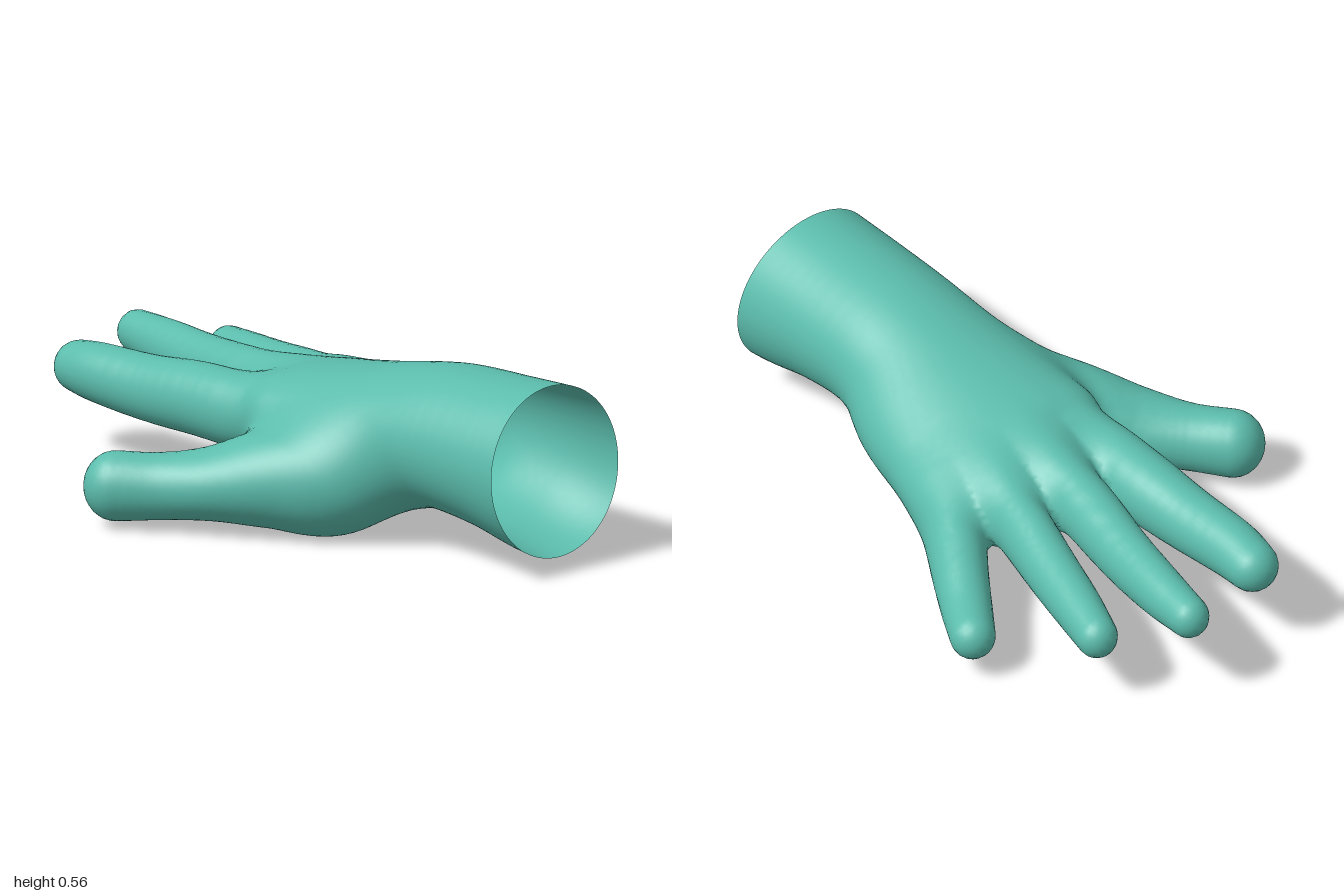
import * as THREE from 'three';

// Every part is a row of elliptical sections [x, y, z, halfWidth, halfHeight, roll]
const palm = [
  [1.10, 0.300, -0.058, 0.260, 0.262],
  [0.98, 0.303, -0.055, 0.254, 0.255],
  [0.80, 0.318, -0.047, 0.247, 0.232],
  [0.60, 0.322, -0.042, 0.246, 0.217],
  [0.45, 0.302, -0.045, 0.260, 0.211, 0.02],
  [0.30, 0.268, -0.060, 0.298, 0.210, 0.06],
  [0.15, 0.262, -0.075, 0.313, 0.186, 0.10],
  [0.00, 0.265, -0.090, 0.316, 0.155, 0.13],
  [-0.10, 0.265, -0.070, 0.265, 0.130, 0.13],
  [-0.20, 0.262, -0.035, 0.175, 0.090, 0.12],
];
const fingers = {
  index: [
    [0.05, 0.275, 0.100, 0.080, 0.090],
    [-0.15, 0.268, 0.118, 0.100, 0.112],
    [-0.35, 0.265, 0.122, 0.102, 0.110],
    [-0.55, 0.255, 0.132, 0.093, 0.100],
    [-0.75, 0.257, 0.140, 0.085, 0.090],
    [-0.85, 0.255, 0.134, 0.078, 0.078],
  ],
  middle: [
    [0.05, 0.285, -0.050, 0.080, 0.090],
    [-0.15, 0.285, -0.066, 0.088, 0.110],
    [-0.35, 0.275, -0.084, 0.088, 0.103],
    [-0.58, 0.263, -0.126, 0.080, 0.094],
    [-0.78, 0.268, -0.160, 0.072, 0.082],
    [-0.94, 0.276, -0.182, 0.061, 0.065],
  ],
  ring: [
    [0.05, 0.260, -0.180, 0.080, 0.090],
    [-0.12, 0.252, -0.222, 0.086, 0.110],
    [-0.30, 0.240, -0.267, 0.082, 0.104],
    [-0.48, 0.228, -0.316, 0.078, 0.090],
    [-0.64, 0.220, -0.358, 0.072, 0.080],
    [-0.78, 0.215, -0.399, 0.062, 0.067],
  ],
  // Starts at the heel of the hand, which it fills out below
  little: [
    [0.38, 0.240, -0.160, 0.100, 0.120],
    [0.25, 0.192, -0.210, 0.100, 0.138],
    [0.12, 0.178, -0.265, 0.098, 0.126],
    [0.00, 0.180, -0.328, 0.094, 0.126],
    [-0.11, 0.176, -0.386, 0.092, 0.120],
    [-0.25, 0.155, -0.478, 0.083, 0.096],
    [-0.36, 0.135, -0.546, 0.076, 0.079],
    [-0.46, 0.128, -0.607, 0.068, 0.071],
  ],
};
const thumb = [
  [0.42, 0.235, 0.060, 0.125, 0.125],
  [0.28, 0.174, 0.165, 0.165, 0.172],
  [0.13, 0.160, 0.270, 0.162, 0.148],
  [0.00, 0.139, 0.390, 0.125, 0.110],
  [-0.12, 0.124, 0.485, 0.100, 0.100],
  [-0.23, 0.119, 0.574, 0.095, 0.105],
];

// Distance to a rounded limb swept smoothly through its sections
function limb(sections, steps = 14) {
  const curve = pick => new THREE.CatmullRomCurve3(
    sections.map(s => new THREE.Vector3(...pick(s))), false, 'catmullrom');
  const path = curve(s => s.slice(0, 3));
  const sizes = curve(s => [s[3], s[4], s[5] ?? 0]);
  const count = (sections.length - 1) * steps;
  const slices = Array.from({ length: count + 1 }, (_, i) => {
    const center = path.getPoint(i / count), size = sizes.getPoint(i / count);
    const along = path.getTangent(i / count).setY(0).normalize();
    return { center, along, w: size.x, h: size.y, r: Math.min(size.x, size.y), roll: size.z };
  });
  return (x, y, z) => {
    let nearest = Infinity;
    for (const { center, along, w, h, r, roll } of slices) {
      const dx = x - center.x, dz = z - center.z;
      const across = dx * along.z - dz * along.x;
      const a = across / w;
      const b = (y - center.y - across * roll) / h;
      const c = (dx * along.x + dz * along.z) / r;
      const k = Math.sqrt(a * a + b * b + c * c);
      const slope = Math.sqrt((a / w) ** 2 + (b / h) ** 2 + (c / r) ** 2) + 1e-6;
      nearest = Math.min(nearest, k * (k - 1) / slope);
    }
    return nearest;
  };
}

// Joins two distances with a fillet
function blend(a, b, radius) {
  const h = Math.max(radius - Math.abs(a - b), 0) / radius;
  return Math.min(a, b) - h * h * radius / 4;
}

// Hand shape: fingers meet in tight clefts, then flow softly into the palm and thumb
function handField() {
  const palmField = limb(palm), thumbField = limb(thumb);
  const fingerFields = Object.values(fingers).map(f => limb(f));
  return (x, y, z) => {
    const allFingers = fingerFields.map(f => f(x, y, z)).reduce((a, b) => blend(a, b, 0.012));
    return blend(blend(palmField(x, y, z), allFingers, 0.06), thumbField(x, y, z), 0.08);
  };
}

// One thin skin over the field, on a grid that leans with the cuff and stops at its open rim
function skin(field) {
  const cell = 0.02, size = [103, 34, 74], stride = [1, 103, 103 * 34];
  const place = (i, j, k) => {
    const y = -0.05 + j * cell;
    return [-1.05 + i * cell - 0.08 * (y - 0.305), y, -0.73 + k * cell];
  };
  const values = new Float32Array(size[0] * size[1] * size[2]);
  const eachNode = (trim, visit) => {
    for (let k = 0; k < size[2] - trim; k++)
      for (let j = 0; j < size[1] - trim; j++)
        for (let i = 0; i < size[0] - trim; i++) visit([i, j, k], i + j * stride[1] + k * stride[2]);
  };
  eachNode(0, (n, id) => { values[id] = field(...place(...n)); });

  // A vertex in each cell the surface crosses, settled onto the surface
  const positions = [], normals = [], indices = [], vertexOf = new Map();
  eachNode(1, (n, id) => {
    const sum = [0, 0, 0];
    let hits = 0;
    for (let corner = 0; corner < 8; corner++) {
      const offset = [corner & 1, corner >> 1 & 1, corner >> 2];
      const a = id + offset[0] + offset[1] * stride[1] + offset[2] * stride[2];
      for (let d = 0; d < 3; d++) {
        if (offset[d]) continue;
        const va = values[a], vb = values[a + stride[d]];
        if (va < 0 === vb < 0) continue;
        hits++;
        offset.forEach((o, e) => { sum[e] += o + (e === d ? va / (va - vb) : 0); });
      }
    }
    if (!hits) return;
    const local = sum.map((s, e) => n[e] + s / hits);
    if (n[0] === size[0] - 2) local[0] = n[0] + 0.5; // straight rim
    const [x, y, z] = place(...local), e = 0.004;
    const gradient = new THREE.Vector3(
      field(x + e, y, z) - field(x - e, y, z),
      field(x, y + e, z) - field(x, y - e, z),
      field(x, y, z + e) - field(x, y, z - e)).divideScalar(2 * e);
    const normal = gradient.clone().normalize();
    const settle = THREE.MathUtils.clamp(
      field(x, y, z) / Math.max(gradient.length(), 0.5), -cell / 2, cell / 2);
    vertexOf.set(id, positions.length / 3);
    positions.push(x - normal.x * settle, y - normal.y * settle, z - normal.z * settle);
    normals.push(normal.x, normal.y, normal.z);
  });

  // A quad around each crossed grid edge
  eachNode(1, (n, id) => {
    for (let d = 0; d < 3; d++) {
      const inside = values[id] < 0;
      if (inside === values[id + stride[d]] < 0) continue;
      if (d === 0 && n[0] === size[0] - 2) continue; // keeps the cuff open
      const u = stride[(d + 1) % 3], v = stride[(d + 2) % 3];
      const quad = [id - u - v, id - v, id, id - u].map(c => vertexOf.get(c));
      if (quad.includes(undefined)) continue;
      const [a, b, c, e] = inside ? quad : quad.reverse();
      indices.push(a, b, c, a, c, e);
    }
  });

  const geometry = new THREE.BufferGeometry();
  geometry.setAttribute('position', new THREE.Float32BufferAttribute(positions, 3));
  geometry.setAttribute('normal', new THREE.Float32BufferAttribute(normals, 3));
  geometry.setIndex(indices);
  return geometry;
}

export function createModel() {
  const glove = new THREE.Group();
  glove.name = 'glove';
  const material = new THREE.MeshStandardMaterial({ color: 0x5bbcac, side: THREE.DoubleSide });
  const gloveSkin = new THREE.Mesh(skin(handField()), material);
  gloveSkin.name = 'gloveSkin';
  glove.add(gloveSkin);
  return glove;
}
